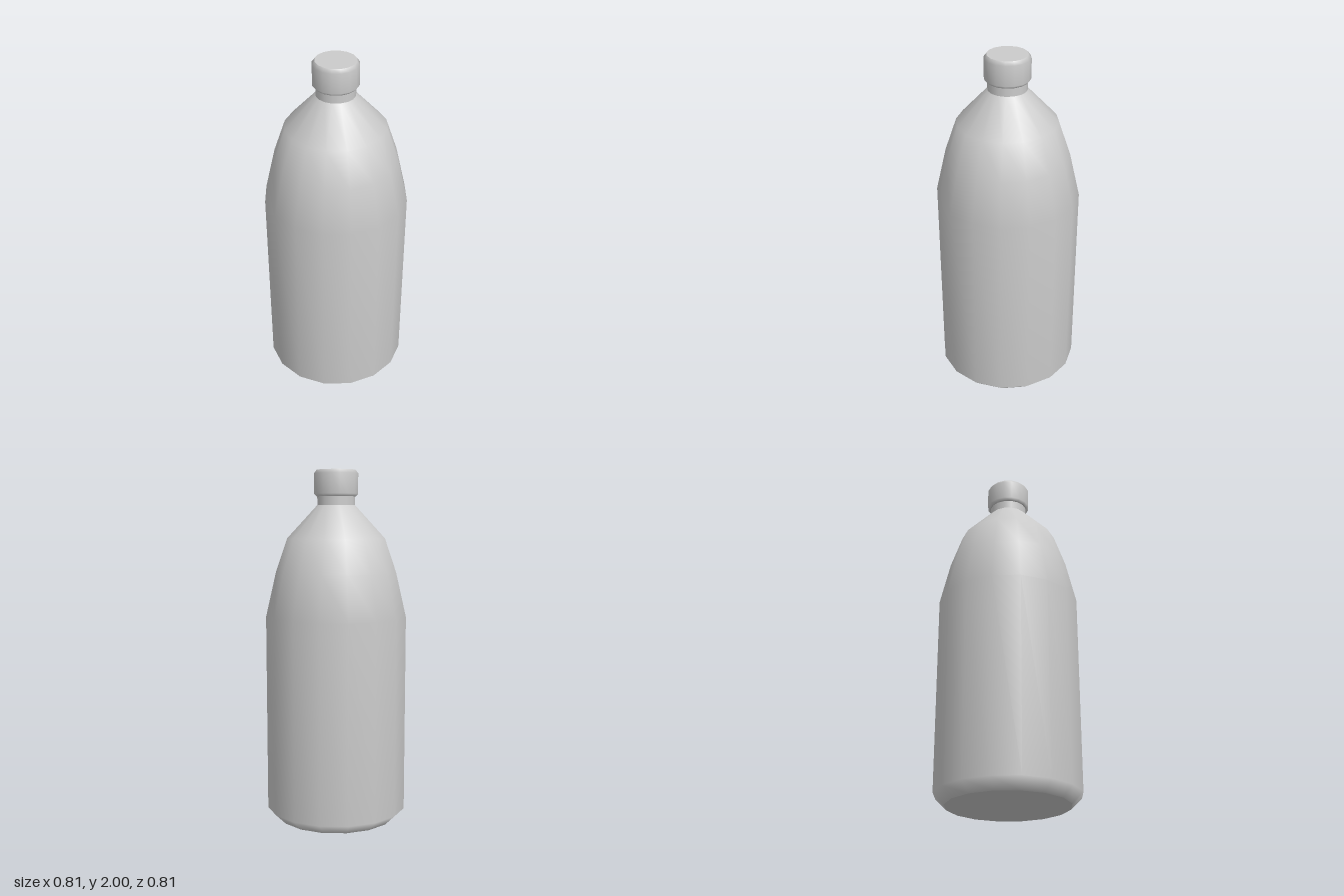
import * as THREE from 'three';

const SIDES = 16;

export function createModel() {
  const bottle = new THREE.Group();
  bottle.name = 'bottle';
  const material = new THREE.MeshStandardMaterial({ color: 0xcccccc });

  // Revolve a [radius, height] profile; separate profiles keep a sharp edge between them
  const turned = (name, profile) => {
    const points = profile.map(([r, y]) => new THREE.Vector2(r, y));
    const mesh = new THREE.Mesh(new THREE.LatheGeometry(points, SIDES), material);
    mesh.name = name;
    bottle.add(mesh);
  };

  // Flat underside
  turned('base', [[0, 0], [0.342, 0]]);

  // Bevelled foot, straight wall and tapering shoulder
  turned('body', [
    [0.342, 0], [0.403, 0.06], [0.403, 1.18],
    [0.345, 1.43], [0.28, 1.62], [0.108, 1.805],
  ]);

  // Short neck below the cap
  turned('neck', [[0.108, 1.805], [0.108, 1.855]]);

  // Cap: underside ring, bevelled wall, flat top
  turned('capUnderside', [[0.1, 1.853], [0.113, 1.853]]);
  turned('capWall', [[0.113, 1.853], [0.126, 1.868], [0.126, 1.98], [0.111, 2]]);
  turned('capTop', [[0.111, 2], [0, 2]]);

  return bottle;
}
